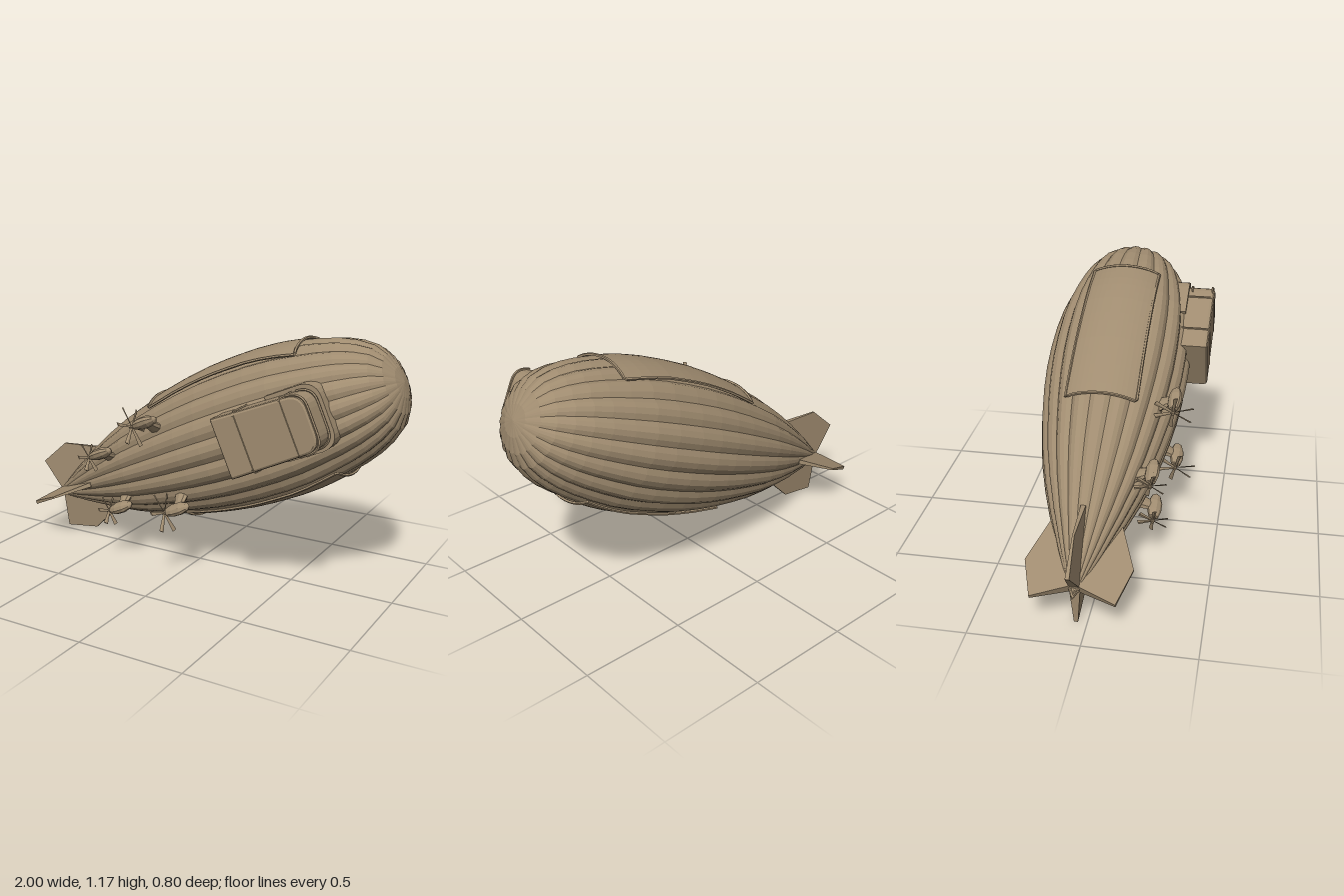
import * as THREE from 'three';

const mat = new THREE.MeshStandardMaterial({ color: 0xa08c70, flatShading: true });
const matThin = new THREE.MeshStandardMaterial({ color: 0xa08c70, side: THREE.DoubleSide, flatShading: true });

// Hull radius along its own axis (x), tail to nose
const PROFILE = [[-0.96, 0], [-0.89, 0.034], [-0.74, 0.102], [-0.57, 0.172], [-0.43, 0.222], [-0.29, 0.264], [-0.16, 0.293],
  [-0.03, 0.318], [0.1, 0.337], [0.23, 0.349], [0.36, 0.353], [0.5, 0.35], [0.62, 0.339], [0.73, 0.318], [0.83, 0.294],
  [0.91, 0.268], [0.98, 0.235], [1.04, 0.193], [1.08, 0.138], [1.105, 0.07], [1.115, 0]];
const LOBES = 20;

function hullRadius(x) {
  for (let i = 1; i < PROFILE.length; i++) {
    const [x0, r0] = PROFILE[i - 1], [x1, r1] = PROFILE[i];
    if (x <= x1) return r0 + (r1 - r0) * (x - x0) / (x1 - x0);
  }
  return 0;
}

function add(parent, name, geometry, material = mat) {
  const flat = geometry.index ? geometry.toNonIndexed() : geometry;
  flat.computeVertexNormals();
  const mesh = new THREE.Mesh(flat, material);
  mesh.name = name;
  parent.add(mesh);
  return mesh;
}

function tube(points, radius, closed = false) {
  const path = new THREE.CurvePath();
  points.forEach((p, i) => {
    if (i) path.add(new THREE.LineCurve3(points[i - 1], p));
  });
  if (closed) path.add(new THREE.LineCurve3(points[points.length - 1], points[0]));
  return new THREE.TubeGeometry(path, points.length * 4, radius, 5, closed);
}

// Envelope of puffed lengthwise gores
function hullGeometry() {
  const g = new THREE.LatheGeometry(PROFILE.map(([x, r]) => new THREE.Vector2(r, x)), LOBES * 4);
  const p = g.attributes.position;
  for (let i = 0; i < p.count; i++) {
    const angle = Math.atan2(p.getZ(i), p.getX(i));
    const k = 1 - 0.055 * (1 - Math.abs(Math.cos(angle * LOBES / 2)));
    p.setXYZ(i, p.getX(i) * k, p.getY(i), p.getZ(i) * k);
  }
  return g.rotateZ(-Math.PI / 2);
}

// Smooth curved panel lying over the gores, with a raised frame
function makePanel() {
  const group = new THREE.Group();
  const x0 = -0.08, x1 = 0.75, half = 0.165;
  const onHull = (x, z, lift) => {
    const r = hullRadius(x) + lift;
    return new THREE.Vector3(x, Math.sqrt(r * r - z * z), z);
  };
  const g = new THREE.PlaneGeometry(1, 1, 16, 14);
  const p = g.attributes.position;
  for (let i = 0; i < p.count; i++) {
    const v = onHull(x0 + (p.getX(i) + 0.5) * (x1 - x0), -p.getY(i) * 2 * half, 0.004);
    p.setXYZ(i, v.x, v.y, v.z);
  }
  add(group, 'panelSkin', g, matThin);
  const border = [], n = 10;
  for (let i = 0; i < n; i++) border.push(onHull(x0 + (x1 - x0) * i / n, -half, 0.004));
  for (let i = 0; i < n; i++) border.push(onHull(x1, -half + 2 * half * i / n, 0.007));
  for (let i = 0; i < n; i++) border.push(onHull(x1 - (x1 - x0) * i / n, half, 0.004));
  for (let i = 0; i < n; i++) border.push(onHull(x0, half - 2 * half * i / n, 0.007));
  add(group, 'panelFrame', tube(border, 0.007, true));
  return group;
}

// Tail fin, thick at the root and thin at the tip
function finGeometry() {
  const shape = new THREE.Shape([[-0.9, 0], [-0.966, 0.186], [-0.79, 0.24], [-0.59, 0.165], [-0.5, 0]]
    .map(([x, y]) => new THREE.Vector2(x, y)));
  const g = new THREE.ExtrudeGeometry(shape, { depth: 0.05, bevelEnabled: false }).translate(0, 0, -0.025);
  const p = g.attributes.position;
  for (let i = 0; i < p.count; i++) p.setZ(i, p.getZ(i) * (1 - 3.4 * p.getY(i)));
  return g;
}

// Engine pod with strut and pusher propeller; local +y points away from the hull
function makeEngine(bladeLength) {
  const group = new THREE.Group();
  const pod = new THREE.LatheGeometry([[0, 0], [0.018, 0.005], [0.026, 0.04], [0.026, 0.085], [0.016, 0.12], [0, 0.135]]
    .map(([r, y]) => new THREE.Vector2(r, y)), 10).rotateZ(-Math.PI / 2).scale(1, 1.3, 1);
  add(group, 'enginePod', pod);
  const strut = new THREE.CylinderGeometry(0.022, 0.05, 0.13, 8).scale(1, 1, 0.5).translate(0.065, -0.065, 0);
  add(group, 'engineStrut', strut);
  const hub = new THREE.CylinderGeometry(0.012, 0.008, 0.03, 8).rotateZ(-Math.PI / 2).translate(-0.01, 0, 0);
  add(group, 'propellerHub', hub);
  const blade = new THREE.CylinderGeometry(0.011, 0.005, bladeLength, 4).scale(0.3, 1, 1)
    .translate(0, bladeLength / 2, 0).rotateY(0.4);
  for (let i = 0; i < 6; i++) {
    const mesh = add(group, 'propellerBlade', blade.clone());
    mesh.position.x = -0.014;
    mesh.rotation.x = i * Math.PI / 3 + 0.2;
  }
  return group;
}

// Cabin outline: square stern, rounded bow
function cabinShape(grow) {
  const s = new THREE.Shape(), w = 0.14 + grow, bow = 0.858 + grow;
  s.moveTo(0.41, -w);
  s.lineTo(0.78, -w + 0.012);
  s.quadraticCurveTo(bow, -w + 0.012, bow, -w + 0.08);
  s.lineTo(bow, w - 0.08);
  s.quadraticCurveTo(bow, w - 0.012, 0.78, w - 0.012);
  s.lineTo(0.41, w);
  s.closePath();
  return s;
}

function makeGondola() {
  const group = new THREE.Group();
  group.name = 'gondola';
  const body = new THREE.ExtrudeGeometry(cabinShape(-0.012), {
    depth: 0.2, bevelThickness: 0.018, bevelSize: 0.012, bevelSegments: 2, curveSegments: 6
  });
  add(group, 'cabin', body.translate(0, 0, 0.222));
  // Wider collar joining the forward cabin to the hull
  const collar = new THREE.Shape();
  collar.moveTo(0.62, -0.15);
  collar.lineTo(0.8, -0.15);
  collar.quadraticCurveTo(0.875, -0.14, 0.875, -0.07);
  collar.lineTo(0.875, 0.07);
  collar.quadraticCurveTo(0.875, 0.14, 0.8, 0.15);
  collar.lineTo(0.62, 0.15);
  add(group, 'collar', new THREE.ExtrudeGeometry(collar, { depth: 0.13, bevelEnabled: false, curveSegments: 6 })
    .translate(0, 0, 0.18));
  // Window rails around the bow
  const outline = cabinShape(0.002).getPoints(6).filter(p => p.x > 0.7);
  for (const z of [0.325, 0.428]) {
    add(group, 'windowRail', tube(outline.map(p => new THREE.Vector3(p.x, p.y, z)), 0.006));
  }
  // Hoops across the cabin
  for (const [x, w] of [[0.52, 0.139], [0.75, 0.131]]) {
    const hoop = [[-w, 0.28], [-w, 0.425], [-w + 0.014, 0.44], [w - 0.014, 0.44], [w, 0.425], [w, 0.28]];
    add(group, 'cabinHoop', tube(hoop.map(([y, z]) => new THREE.Vector3(x, y, z)), 0.005));
  }
  return group;
}

export function createModel() {
  const model = new THREE.Group();
  model.name = 'airship';
  const ship = new THREE.Group();
  ship.name = 'tiltedAirship';
  ship.position.set(-0.041, 0.56, -0.05);
  ship.rotation.z = THREE.MathUtils.degToRad(23.8);
  model.add(ship);

  add(ship, 'hull', hullGeometry());

  for (let i = 0; i < 4; i++) {
    add(ship, 'tailFin', finGeometry()).rotation.x = i * Math.PI / 2;
  }

  for (const angle of [0, Math.PI]) {
    const panel = makePanel();
    panel.name = 'hullPanel';
    panel.rotation.x = angle;
    ship.add(panel);
  }

  // Two pairs of engines either side of the gondola line
  for (const [x, y, z, blade] of [[-0.07, 0.215, 0.33, 0.1], [-0.43, 0.14, 0.27, 0.075]]) {
    for (const side of [1, -1]) {
      const engine = makeEngine(blade);
      engine.name = 'engine';
      engine.position.set(x, y * side, z);
      engine.rotation.x = Math.atan2(z, y * side);
      ship.add(engine);
    }
  }

  ship.add(makeGondola());
  return model;
}
